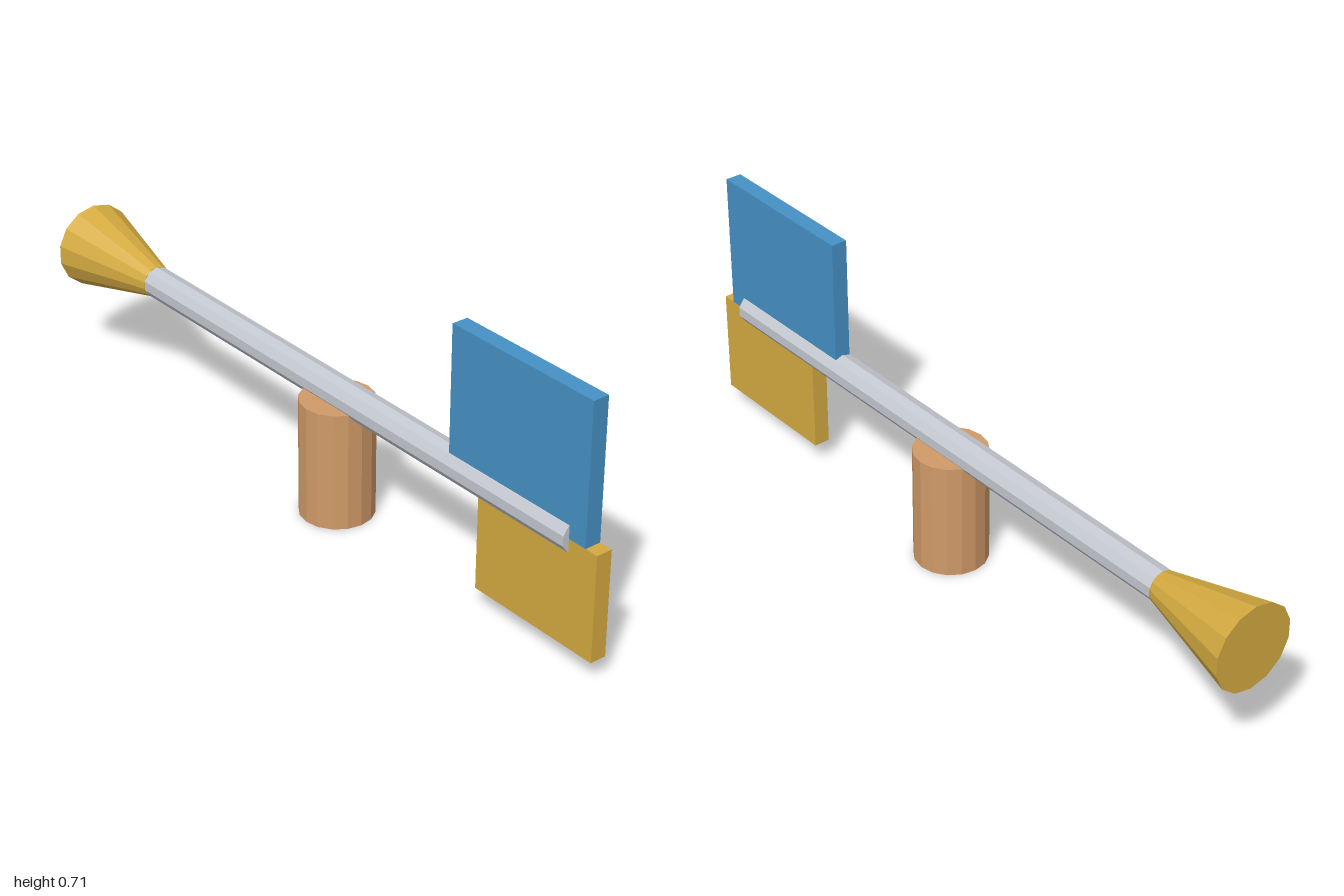
import * as THREE from 'three';

const mat = (name, color) => {
  const m = new THREE.MeshStandardMaterial({ color, flatShading: true });
  m.name = name;
  return m;
};

export function createModel() {
  const gold = mat('gold', 0xd4aa40);
  const blue = mat('blue', 0x4590c4);
  const wood = mat('wood', 0xd09a68);
  const silver = mat('silver', 0xc4c8d0);

  const group = new THREE.Group();
  const axisY = 0.338; // height of the shaft's centre line

  const add = (name, geometry, material, x, y) => {
    const mesh = new THREE.Mesh(geometry, material);
    mesh.name = name;
    mesh.position.set(x, y, 0);
    group.add(mesh);
    return mesh;
  };

  // Round part lying along x, with a corner of its cross-section at the top
  const addAlongX = (name, material, x0, x1, r0, r1, sides) => {
    const g = new THREE.CylinderGeometry(r0, r1, x1 - x0, sides, 1, false, Math.PI / 2);
    g.rotateZ(Math.PI / 2);
    return add(name, g, material, (x0 + x1) / 2, axisY);
  };

  // Thin upright plate in the xy plane
  const addFin = (name, material, x0, x1, y0, y1) =>
    add(name, new THREE.BoxGeometry(x1 - x0, y1 - y0, 0.044), material, (x0 + x1) / 2, (y0 + y1) / 2);

  // Shaft and flared nose
  addAlongX('shaft', silver, -0.705, 0.91, 0.042, 0.042, 10);
  addAlongX('noseCone', gold, -1, -0.705, 0.115, 0.042, 14);

  // Tail fins
  addFin('upperFin', blue, 0.503, 0.963, axisY, 0.709);
  addFin('lowerFin', gold, 0.608, 1, 0.055, axisY);

  // Support post
  add('post', new THREE.CylinderGeometry(0.097, 0.097, 0.32, 16), wood, 0.061, 0.16);

  return group;
}
